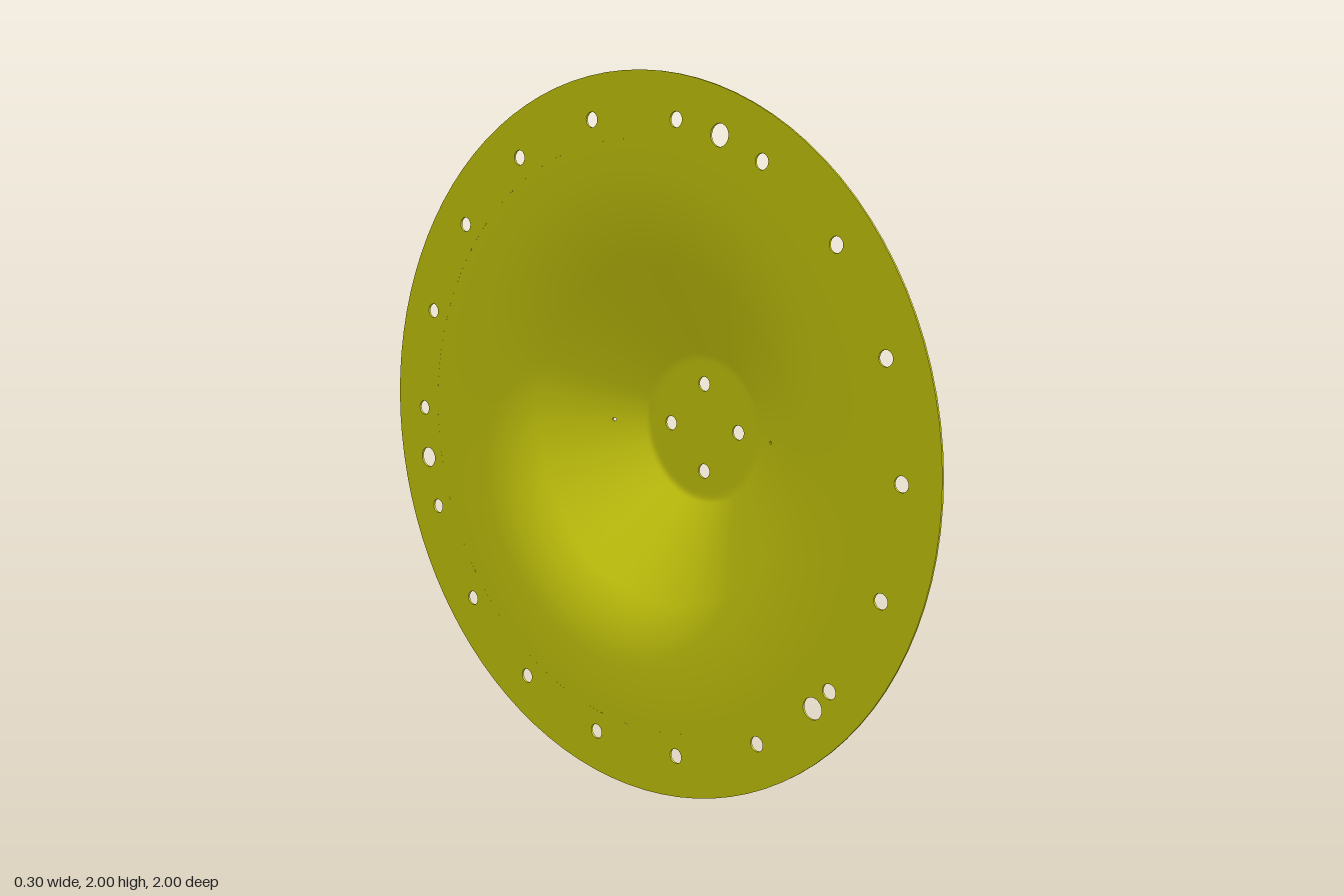
import * as THREE from 'three';

const T = 0.006;          // sheet thickness
const N = 96;             // segments round the disc
const H = Math.PI / N;    // half a segment
const SLOPE = 0.7;        // axial drop of the cone per unit of radius
const coneX = r => -0.043 + (0.48 - r) * SLOPE;

const circle = (r, n, cx = 0, cy = 0) => Array.from({ length: n }, (_, i) => {
  const a = H + i * 2 * Math.PI / n;
  return new THREE.Vector2(cx + r * Math.cos(a), cy + r * Math.sin(a));
});

// Flat sheet with holes, facing +x with its back at x
function sheet(outline, holes, x) {
  const shape = new THREE.Shape(outline);
  shape.holes = holes.map(h => new THREE.Path(h));
  const g = new THREE.ExtrudeGeometry(shape, { depth: T, bevelEnabled: false });
  return g.rotateY(Math.PI / 2).translate(x, 0, 0);
}

// Hole at an angle measured from +z towards +y
const holeAt = (deg, dist, r) => {
  const a = THREE.MathUtils.degToRad(deg);
  return circle(r, 24, -dist * Math.cos(a), dist * Math.sin(a));
};

export function createModel() {
  const model = new THREE.Group();
  const disc = new THREE.Group();
  disc.name = 'dishedDisc';
  disc.position.y = 1;
  model.add(disc);
  const yellow = new THREE.MeshStandardMaterial({ color: 0xd9d90f });
  yellow.name = 'yellow';
  const add = (name, geometry) => {
    const m = new THREE.Mesh(geometry, yellow);
    m.name = name;
    disc.add(m);
    return m;
  };

  // Front and back skins turned about the x axis; profile runs from rim to hub
  const skin = (name, profile, start = H, length = 2 * Math.PI, segments = N) => {
    const front = profile.map(([r, x]) => new THREE.Vector2(r, x));
    const back = profile.map(([r, x]) => new THREE.Vector2(r, x - T)).reverse();
    [['Front', front], ['Back', back]].forEach(([side, pts]) =>
      add(name + side, new THREE.LatheGeometry(pts, segments, start, length).rotateZ(-Math.PI / 2)));
  };

  // Flat rim: 18 bolt holes and 3 larger ones
  const rimHoles = [circle(0.82, N)];
  for (let i = 0; i < 18; i++) rimHoles.push(holeAt(i * 20, 0.883, 0.021));
  [70, 190, 315].forEach(a => rimHoles.push(holeAt(a, 0.883, 0.03)));
  add('rim', sheet(circle(1, N), rimHoles, -0.15));

  // Flat hub with 4 holes
  add('hub', sheet(circle(0.18, N), [0, 90, 180, 270].map(a => holeAt(a, 0.127, 0.021)), 0.15 - T));

  // Flared curve from the rim into the cone
  const angle = Math.atan(SLOPE);
  const R = 0.32 / Math.sin(angle);
  const rimX = coneX(0.48) - R * (1 - Math.cos(angle));
  const flare = [[0.82, rimX]];
  for (let i = 0; i <= 16; i++) {
    const a = angle * i / 16;
    flare.push([0.8 - R * Math.sin(a), rimX + R * (1 - Math.cos(a))]);
  }
  flare.push([0.4, coneX(0.4)], [0.31, coneX(0.31)]);
  skin('flare', flare);

  // Cone band, interrupted by two small pierced patches
  const band = [[0.31, coneX(0.31)], [0.28, coneX(0.28)]];
  [0, Math.PI].forEach((start, i) => {
    skin('coneBand', band, start + H, Math.PI - 2 * H, N / 2 - 1);
    const corner = (r, s) => new THREE.Vector2(r * Math.cos(H), s * r * Math.sin(H));
    const outline = [corner(0.28, -1), corner(0.31, -1), corner(0.31, 1), corner(0.28, 1)];
    const g = sheet(outline, [circle(0.005, 12, 0.295, 0)], -T);
    const p = g.attributes.position;
    for (let k = 0; k < p.count; k++) p.setX(k, p.getX(k) + coneX(-p.getZ(k) / Math.cos(H)));
    g.computeVertexNormals();
    add('piercedPatch', g.rotateX(i * Math.PI));
  });

  // Upper cone with a rounded shoulder into the hub
  const cornerR = 0.48 - (0.15 - coneX(0.48)) / SLOPE;
  const shoulder = new THREE.QuadraticBezierCurve(
    new THREE.Vector2(cornerR + 0.013, coneX(cornerR + 0.013)),
    new THREE.Vector2(cornerR, 0.15),
    new THREE.Vector2(cornerR - 0.016, 0.15));
  skin('shoulder', [[0.28, coneX(0.28)], [0.23, coneX(0.23)],
    ...shoulder.getPoints(8).map(v => [v.x, v.y]), [0.18, 0.15]]);

  return model;
}
